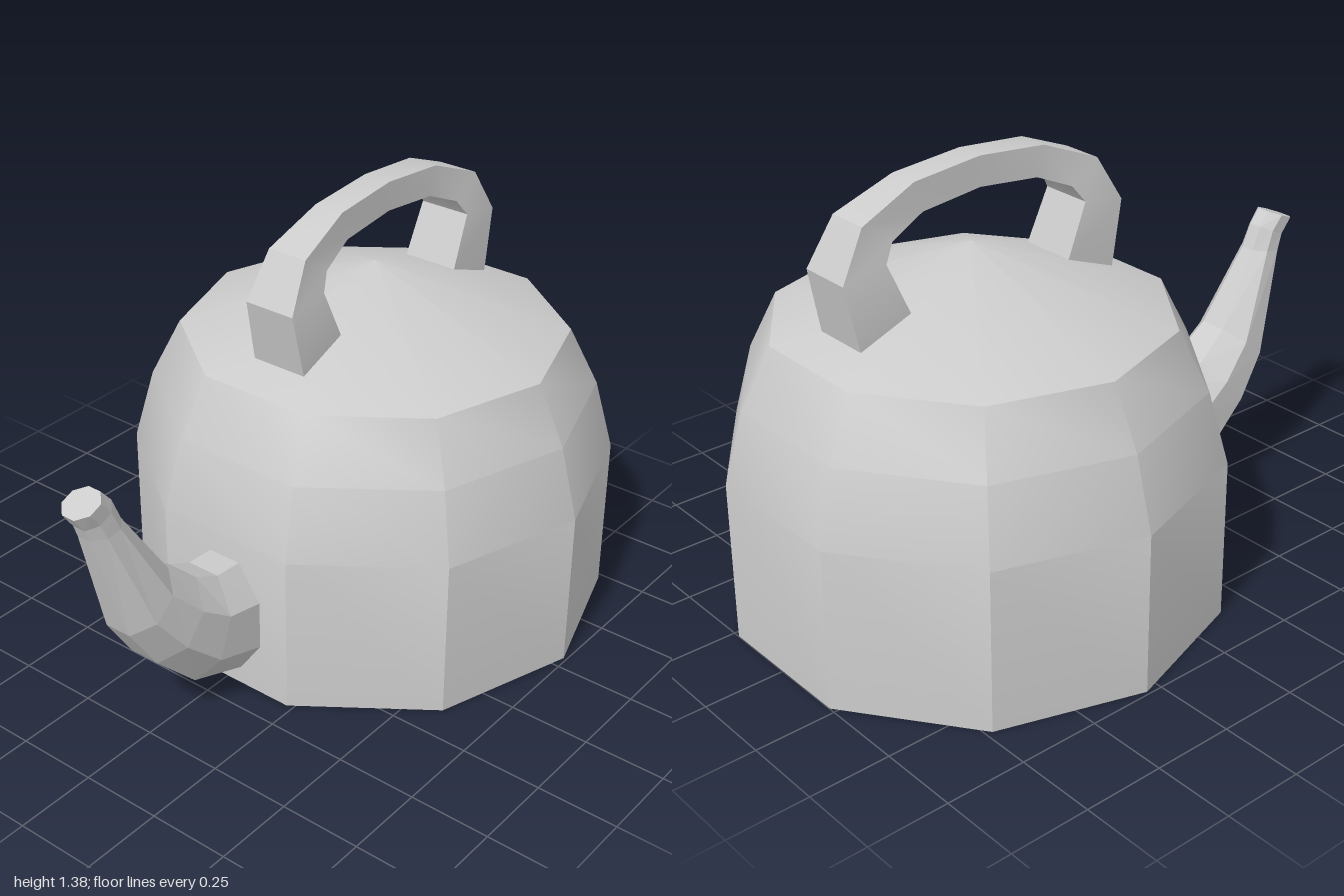
import * as THREE from 'three';
import { toCreasedNormals } from 'three/addons/utils/BufferGeometryUtils.js';

const CREASE = THREE.MathUtils.degToRad(35);
const CENTRE_Z = -0.295;

// Closed loft of n-sided sections lying along a path in the YZ plane.
// Each section: [z, y] of one side, [z, y] of the opposite side, half width in x.
function loft(sections, n, xSign) {
  const positions = [];
  const index = [];
  const scale = 1 / Math.cos(Math.PI / n);
  for (const [z0, y0, z1, y1, w] of sections) {
    for (let j = 0; j < n; j++) {
      const a = ((j + 0.5) / n) * Math.PI * 2;
      const s = (Math.sin(a) * scale) / 2;
      positions.push(
        xSign * Math.cos(a) * scale * w,
        (y0 + y1) / 2 + s * (y1 - y0),
        (z0 + z1) / 2 + s * (z1 - z0)
      );
    }
  }
  const last = (sections.length - 1) * n;
  for (let i = 0; i < last; i += n) {
    for (let j = 0; j < n; j++) {
      const k = (j + 1) % n;
      index.push(i + j, i + k, i + n + k, i + j, i + n + k, i + n + j);
    }
  }
  for (let j = 1; j < n - 1; j++) {
    index.push(0, j + 1, j, last, last + j, last + j + 1);
  }
  const geometry = new THREE.BufferGeometry();
  geometry.setAttribute('position', new THREE.Float32BufferAttribute(positions, 3));
  geometry.setIndex(index);
  return geometry;
}

export function createModel() {
  const model = new THREE.Group();
  model.name = 'kettle';
  const smooth = new THREE.MeshStandardMaterial({ color: 0xcccccc });
  const faceted = new THREE.MeshStandardMaterial({ color: 0xcccccc, flatShading: true });

  const add = (name, geometry, material) => {
    const mesh = new THREE.Mesh(geometry, material);
    mesh.name = name;
    model.add(mesh);
    return mesh;
  };

  // Ten-sided body with a shallow conical top
  const profile = [[0, 0], [0.74, 0], [0.74, 0.5], [0.68, 0.72], [0.59, 0.9], [0, 1.115]]
    .map(([r, y]) => new THREE.Vector2(r, y));
  const body = new THREE.LatheGeometry(profile, 10, Math.PI / 2);
  add('body', toCreasedNormals(body, CREASE), smooth).position.z = CENTRE_Z;

  // Curved octagonal spout, underside to upper side
  const spout = loft([
    [0.40, 0.055, 0.40, 0.43, 0.13],
    [0.61, 0.13, 0.50, 0.435, 0.13],
    [0.755, 0.275, 0.585, 0.475, 0.122],
    [0.85, 0.42, 0.687, 0.557, 0.104],
    [0.95, 0.77, 0.833, 0.785, 0.054],
    [0.965, 0.81, 0.863, 0.857, 0.05],
    [1.0, 0.86, 0.90, 0.90, 0.052],
  ], 8, 1);
  add('spout', spout, faceted);

  // Arched handle, inner to outer edge, mirrored about its crown
  const half = [
    [0.25, 0.94, 0.44, 0.9, 0.09],
    [0.28, 1.005, 0.453, 0.96, 0.09],
    [0.35, 1.165, 0.49, 1.14, 0.083],
    [0.315, 1.215, 0.41, 1.28, 0.065],
    [0.2, 1.265, 0.225, 1.355, 0.048],
  ];
  const back = half.map(([a, b, c, d, w]) => [-a, b, -c, d, w]).reverse();
  const handle = loft([...half, [0, 1.285, 0, 1.375, 0.045], ...back], 4, -1);
  add('handle', toCreasedNormals(handle, CREASE), smooth).position.z = CENTRE_Z;

  return model;
}
